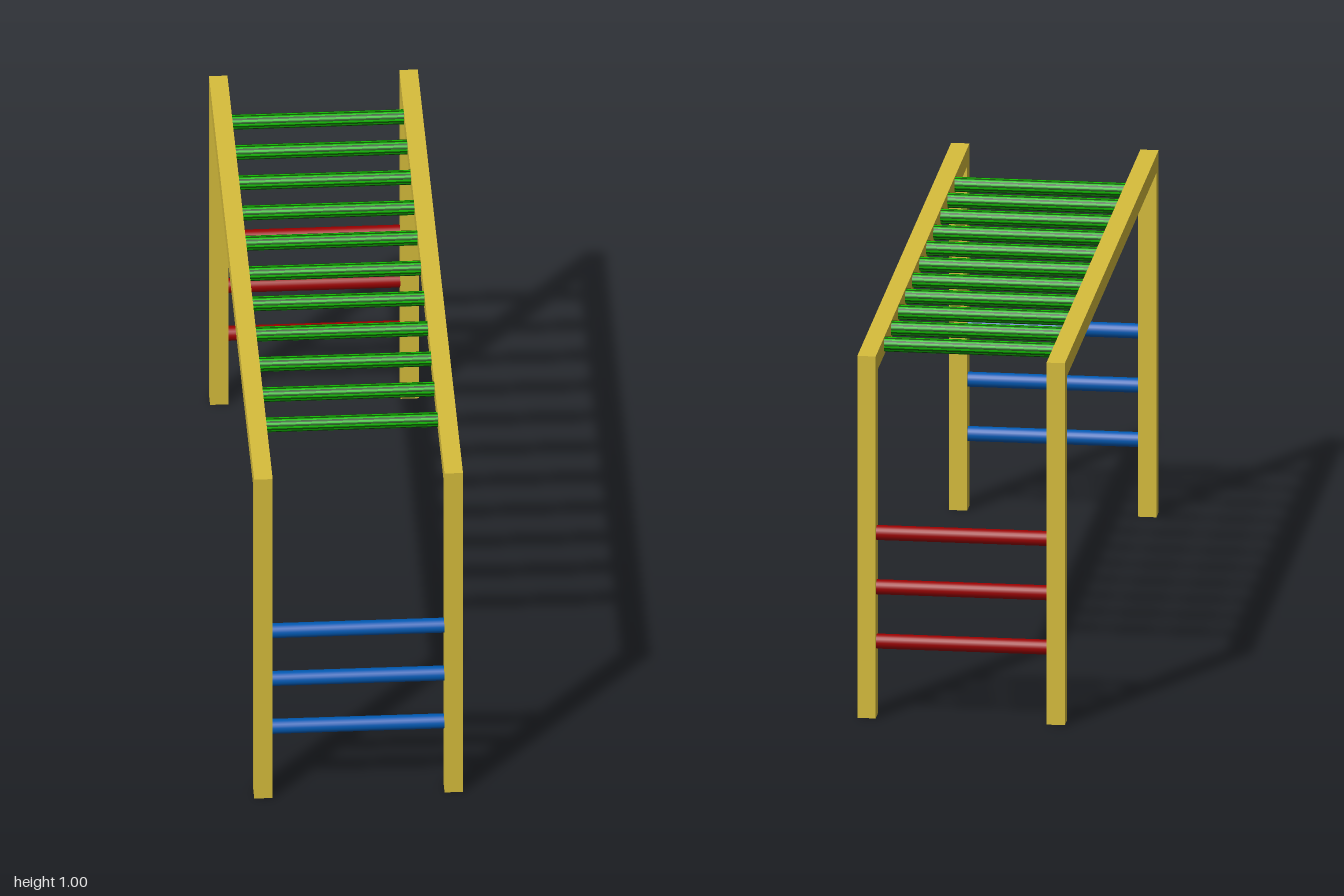
import * as THREE from 'three';

const paint = (name, color) => {
  const m = new THREE.MeshStandardMaterial({ color });
  m.name = name;
  return m;
};

export function createModel() {
  const model = new THREE.Group();
  model.name = 'monkeyBars';

  const wood = paint('yellow wood', 0xd7bd3c);
  const green = paint('bright green', 0x12be00);
  const darkGreen = paint('dark green', 0x0b5200);
  const blue = paint('blue', 0x005ab4);
  const red = paint('red', 0x9c0000);

  const T = 0.049;            // timber thickness
  const inner = 0.228;        // inner face of the side frames
  const railX = inner + T / 2;

  const sides = 24;
  const rungGeometry = new THREE.CylinderGeometry(0.02, 0.02, inner * 2, sides, 1, true);
  rungGeometry.rotateZ(Math.PI / 2);

  // Overhead rungs carry fine lengthwise stripes in two greens
  const stripedGeometry = rungGeometry.clone();
  stripedGeometry.clearGroups();
  for (let i = 0; i < sides; i++) stripedGeometry.addGroup(i * 6, 6, i % 2);

  const add = (name, geometry, material, x, y, z) => {
    const mesh = new THREE.Mesh(geometry, material);
    mesh.name = name;
    mesh.position.set(x, y, z);
    model.add(mesh);
  };

  // Side frames: a top rail resting on two posts
  const railGeometry = new THREE.BoxGeometry(T, T, 2);
  const postGeometry = new THREE.BoxGeometry(T, 1 - T, T);
  for (const [side, s] of [['left', 1], ['right', -1]]) {
    add(side + 'Rail', railGeometry, wood, s * railX, 1 - T / 2, 0);
    add(side + 'FrontPost', postGeometry, wood, s * railX, (1 - T) / 2, 1 - T / 2);
    add(side + 'BackPost', postGeometry, wood, s * railX, (1 - T) / 2, -1 + T / 2);
  }

  // Overhead rungs
  for (let i = 0; i < 11; i++) {
    add('overheadRung' + (i + 1), stripedGeometry, [green, darkGreen], 0, 0.977, -0.805 + i * 0.15);
  }

  // Climbing rungs at both ends
  for (let i = 0; i < 3; i++) {
    const y = 0.207 + i * 0.15;
    add('frontRung' + (i + 1), rungGeometry, blue, 0, y, 0.972);
    add('backRung' + (i + 1), rungGeometry, red, 0, y, -0.976);
  }

  return model;
}
